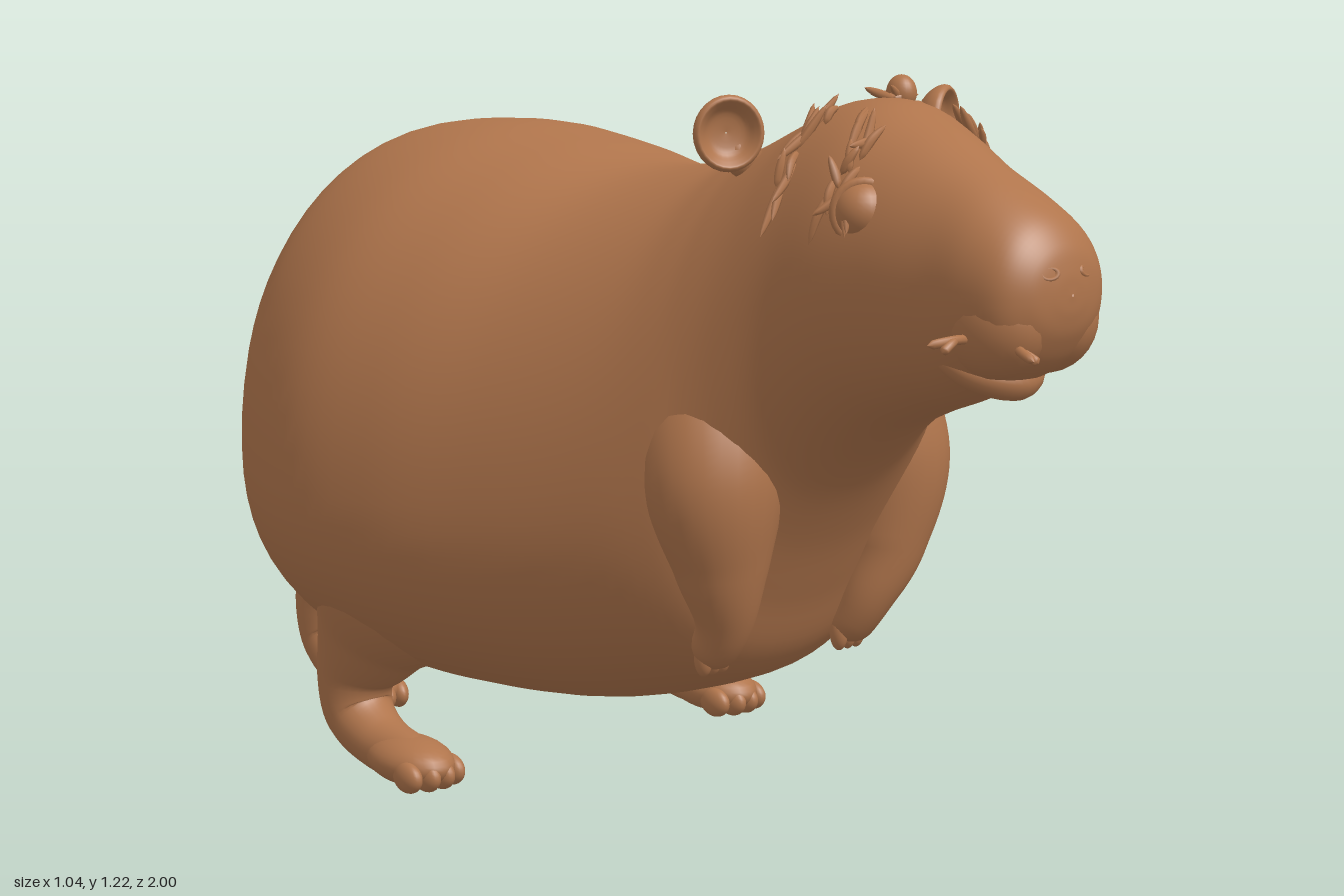
import * as THREE from 'three';
import { mergeVertices } from 'three/addons/utils/BufferGeometryUtils.js';

const V = (x, y, z) => new THREE.Vector3(x, y, z);
const fur = new THREE.MeshStandardMaterial({ color: 0xb0754c });
fur.name = 'brown fur';

// Body stations from rump to nose: z, centre x, half width, top y, bottom y, widest y
const stations = [
  [-1.0, 0, 0.002, 0.652, 0.648, 0.65], [-0.996, 0, 0.07, 0.72, 0.575, 0.645],
  [-0.983, 0.003, 0.143, 0.785, 0.5, 0.635],
  [-0.95, 0.008, 0.215, 0.85, 0.405, 0.61], [-0.88, 0.015, 0.29, 0.935, 0.29, 0.58],
  [-0.78, 0.015, 0.365, 1.02, 0.205, 0.55], [-0.62, 0.005, 0.455, 1.09, 0.16, 0.53],
  [-0.4, 0, 0.52, 1.11, 0.14, 0.52], [-0.2, -0.005, 0.495, 1.09, 0.14, 0.52],
  [0, -0.01, 0.43, 1.06, 0.16, 0.54], [0.2, -0.02, 0.35, 1.08, 0.22, 0.59],
  [0.3, -0.03, 0.3, 1.11, 0.28, 0.66], [0.36, -0.03, 0.272, 1.135, 0.39, 0.75],
  [0.42, -0.037, 0.245, 1.16, 0.5, 0.82], [0.5, -0.05, 0.215, 1.19, 0.61, 0.9],
  [0.6, -0.065, 0.195, 1.195, 0.69, 0.95], [0.7, -0.085, 0.163, 1.165, 0.735, 0.96],
  [0.8, -0.105, 0.132, 1.125, 0.77, 0.95], [0.88, -0.113, 0.122, 1.09, 0.805, 0.95],
  [0.94, -0.115, 0.108, 1.055, 0.835, 0.945], [0.972, -0.115, 0.075, 1.017, 0.878, 0.945],
  [0.984, -0.115, 0.036, 0.98, 0.913, 0.945], [0.987, -0.115, 0.002, 0.947, 0.943, 0.945],
];
const curveA = new THREE.CatmullRomCurve3(stations.map(s => V(s[0], s[1], s[2])), false, 'catmullrom', 0.5);
const curveB = new THREE.CatmullRomCurve3(stations.map(s => V(s[3], s[4], s[5])), false, 'catmullrom', 0.5);

// Point on the skin at a fractional station and an angle (0 = +x, 90 degrees = up)
function skin(station, angle) {
  const t = station / (stations.length - 1);
  const a = curveA.getPoint(t), b = curveB.getPoint(t);
  const c = Math.cos(angle), s = Math.sin(angle);
  const e = s > 0 ? 0.98 : 0.9;
  const px = Math.sign(c) * Math.abs(c) ** e, py = Math.sign(s) * Math.abs(s) ** e;
  return V(a.y + a.z * px, b.z + py * (s > 0 ? b.x - b.z : b.z - b.y), a.x);
}

function bodyGeometry() {
  const rows = 132, cols = 64, pos = [], index = [];
  for (let i = 0; i <= rows; i++)
    for (let j = 0; j < cols; j++)
      pos.push(...skin(i / rows * (stations.length - 1), j / cols * Math.PI * 2).toArray());
  for (let i = 0; i < rows; i++)
    for (let j = 0; j < cols; j++) {
      const a = i * cols + j, b = i * cols + (j + 1) % cols;
      index.push(a, b, a + cols, b, b + cols, a + cols);
    }
  const g = new THREE.BufferGeometry();
  g.setAttribute('position', new THREE.Float32BufferAttribute(pos, 3));
  g.setIndex(index);
  g.computeVertexNormals();
  return g;
}

// Rounded tube through [x, y, z, radius] points
function limb(points, segments = 36, sides = 24, round = 0.12) {
  const path = new THREE.CatmullRomCurve3(points.map(p => V(p[0], p[1], p[2])), false, 'catmullrom', 0.5);
  const radii = new THREE.CatmullRomCurve3(points.map(p => V(p[3], 0, 0)), false, 'catmullrom', 0.5);
  const g = new THREE.TubeGeometry(path, segments, 1, sides);
  const p = g.attributes.position, n = g.attributes.normal;
  for (let i = 0; i < p.count; i++) {
    const u = Math.floor(i / (sides + 1)) / segments;
    const end = Math.max(0, 1 - Math.min(u, 1 - u) / round);
    const r = radii.getPoint(path.getUtoTmapping(u)).x * Math.sqrt(Math.max(0.0004, 1 - end * end));
    p.setXYZ(i, p.getX(i) + n.getX(i) * (r - 1), p.getY(i) + n.getY(i) * (r - 1), p.getZ(i) + n.getZ(i) * (r - 1));
  }
  g.deleteAttribute('uv');
  g.deleteAttribute('normal');
  const m = mergeVertices(g, 1e-5);
  m.computeVertexNormals();
  return m;
}

function add(parent, name, geometry, position) {
  const mesh = new THREE.Mesh(geometry, fur);
  mesh.name = name;
  if (position) mesh.position.set(...position);
  parent.add(mesh);
  return mesh;
}

function ball(parent, name, position, rx, ry, rz) {
  const mesh = add(parent, name, new THREE.SphereGeometry(1, 24, 16), position);
  mesh.scale.set(rx, ry, rz);
  return mesh;
}

// Leg from inside the body down through the ankle to the toes; origin on the ground below the ankle
function leg(name, x, y, z, yaw, thigh) {
  const g = new THREE.Group();
  g.name = name;
  g.position.set(x, y, z);
  g.rotation.y = yaw;
  add(g, 'shank', limb([...thigh, [0, 0.155, 0, 0.068], [0, 0.095, 0.012, 0.06], [0, 0.058, 0.08, 0.05],
    [0, 0.047, 0.17, 0.042], [0, 0.04, 0.24, 0.035]], 72, 28, 0.06));
  ball(g, 'forefoot', [0, 0.046, 0.165], 0.062, 0.042, 0.1);
  for (let i = 0; i < 4; i++)
    ball(g, 'toe', [(i - 1.5) * 0.029, 0.034, 0.238 - Math.abs(i - 1.5) * 0.012], 0.018, 0.027, 0.036);
  return g;
}

let seed = 7;
const rand = () => (seed = (seed * 16807) % 2147483647) / 2147483647;

// Messy strands scattered on the skin around one spot
function tuft(parent, name, station, degrees, spread, count) {
  const g = new THREE.Group();
  g.name = name;
  for (let i = 0; i < count; i++) {
    const s = station + (rand() - 0.5) * 0.4;
    const a = (degrees + (rand() - 0.5) * spread) * Math.PI / 180;
    const p = skin(s, a), q = skin(s + (rand() - 0.5) * 0.5, a + (rand() < 0.5 ? -1 : 1) * (0.18 + rand() * 0.2));
    const out = V(Math.cos(a), Math.sin(a), 0);
    const mid = p.clone().lerp(q, 0.5).addScaledVector(out, 0.01);
    q.addScaledVector(out, 0.006 + rand() * 0.02);
    add(g, 'strand', limb([[...p, 0.005], [...mid, 0.007], [...q, 0.003]], 10, 6, 0.2));
  }
  parent.add(g);
}

export function createModel() {
  const model = new THREE.Group();
  model.name = 'rodent';
  add(model, 'body', bodyGeometry());

  // Hanging front limbs, rising out of the shoulders
  const arms = [
    ['rightArm', [[-0.11, 0.92, 0.24, 0.1], [-0.165, 0.75, 0.29, 0.125], [-0.212, 0.6, 0.34, 0.118], [-0.21, 0.46, 0.358, 0.075], [-0.2, 0.37, 0.352, 0.046], [-0.2, 0.3, 0.31, 0.035]]],
    ['leftArm', [[0.05, 0.92, 0.24, 0.1], [0.105, 0.75, 0.29, 0.125], [0.152, 0.6, 0.34, 0.115], [0.14, 0.46, 0.358, 0.075], [0.11, 0.37, 0.352, 0.046], [0.095, 0.295, 0.31, 0.035]]],
  ];
  for (const [name, points] of arms) {
    add(model, name, limb(points, 56, 28, 0.06));
    const [x, y, z] = points[5];
    for (const i of [-1, 0, 1]) ball(model, 'finger', [x + i * 0.019, y + 0.014, z + 0.016], 0.013, 0.03, 0.017);
  }

  // Three standing legs, with the thighs given relative to each ankle
  model.add(
    leg('rightLeg', -0.353, 0, -0.435, -0.03, [[0.12, 0.52, 0.12, 0.2], [0.05, 0.33, 0.07, 0.165], [0.015, 0.225, 0.025, 0.1]]),
    leg('leftLeg', 0.335, 0.01, -0.435, -0.02, [[-0.1, 0.52, 0.12, 0.2], [-0.035, 0.33, 0.07, 0.165], [-0.01, 0.225, 0.025, 0.1]]),
    leg('rearLeg', -0.125, 0.022, -0.84, -0.25, [[0.06, 0.46, 0.12, 0.17], [0.035, 0.31, 0.055, 0.13], [0.015, 0.22, 0.015, 0.088]]),
  );

  // Small tail fold
  ball(model, 'tail', [0.03, 0.43, -0.94], 0.018, 0.05, 0.02).rotation.x = -0.35;

  // Cupped ears facing forward
  const cup = [[0.001, -0.03], [0.03, -0.025], [0.05, -0.008], [0.056, 0.008], [0.05, 0.016], [0.042, 0.01], [0.028, -0.002], [0.001, -0.006]];
  for (const [name, x, y, z, yaw] of [['leftEar', 0.16, 1.145, 0.455, 0.45], ['rightEar', -0.207, 1.14, 0.365, -0.45]]) {
    const profile = new THREE.SplineCurve(cup.map(p => new THREE.Vector2(...p))).getPoints(28);
    const geometry = new THREE.LatheGeometry(profile, 28);
    geometry.rotateX(Math.PI / 2);
    const ear = add(model, name, geometry, [x, y, z]);
    ear.rotation.y = yaw;
    ear.scale.set(1, 1.05, 1.1);
    ball(model, 'earBase', [x - Math.sign(x) * 0.04, y - 0.035, z - 0.008], 0.033, 0.036, 0.024);
  }

  // Eyes with soft lids
  for (const [name, x, yaw] of [['leftEye', 0.062, 0.75], ['rightEye', -0.212, -0.75]]) {
    ball(model, name, [x, 1.045, 0.668], 0.046, 0.045, 0.046);
    const lid = add(model, name + 'Lid', new THREE.TorusGeometry(0.043, 0.008, 8, 28), [x + Math.sign(yaw) * 0.008, 1.045, 0.676]);
    lid.rotation.y = yaw;
  }

  // Muzzle: cheeks, lower lip and nostrils
  for (const side of [-1, 1]) {
    ball(model, 'cheek', [-0.115 + side * 0.05, 0.905, 0.888], 0.068, 0.085, 0.086);
    const nostril = add(model, 'nostril', new THREE.TorusGeometry(0.013, 0.005, 8, 16), [-0.118 + side * 0.036, 0.977, 0.977]);
    nostril.scale.y = 0.6;
    nostril.rotation.set(-0.3, side * 0.3, 0);
  }
  add(model, 'lowerLip', limb([[-0.205, 0.862, 0.79, 0.014], [-0.175, 0.826, 0.85, 0.024], [-0.115, 0.812, 0.882, 0.029],
    [-0.055, 0.826, 0.85, 0.024], [-0.022, 0.862, 0.79, 0.014]], 36, 16));

  // Brow and crown tufts
  tuft(model, 'leftBrow', 15.4, 46, 34, 14);
  tuft(model, 'rightBrow', 15.4, 136, 34, 14);
  tuft(model, 'leftTempleTuft', 14.1, 48, 24, 9);
  tuft(model, 'rightTempleTuft', 14.1, 132, 30, 12);
  tuft(model, 'crownTuft', 14.2, 80, 30, 10);
  ball(model, 'crownKnot', [0.005, 1.2, 0.525], 0.022, 0.028, 0.025);

  // Chewed stems at the mouth
  const stems = [
    [[-0.17, 0.875, 0.93], [-0.195, 0.87, 0.965], [-0.2, 0.86, 0.995]],
    [[-0.21, 0.88, 0.88], [-0.255, 0.885, 0.895], [-0.3, 0.88, 0.885]],
    [[-0.255, 0.885, 0.895], [-0.27, 0.88, 0.9], [-0.285, 0.87, 0.9]],
    [[-0.195, 0.87, 0.965], [-0.185, 0.862, 0.975], [-0.18, 0.855, 0.985]],
  ];
  for (const stem of stems) add(model, 'stem', limb(stem.map(p => [...p, 0.007]), 10, 8, 0.15));
  return model;
}
